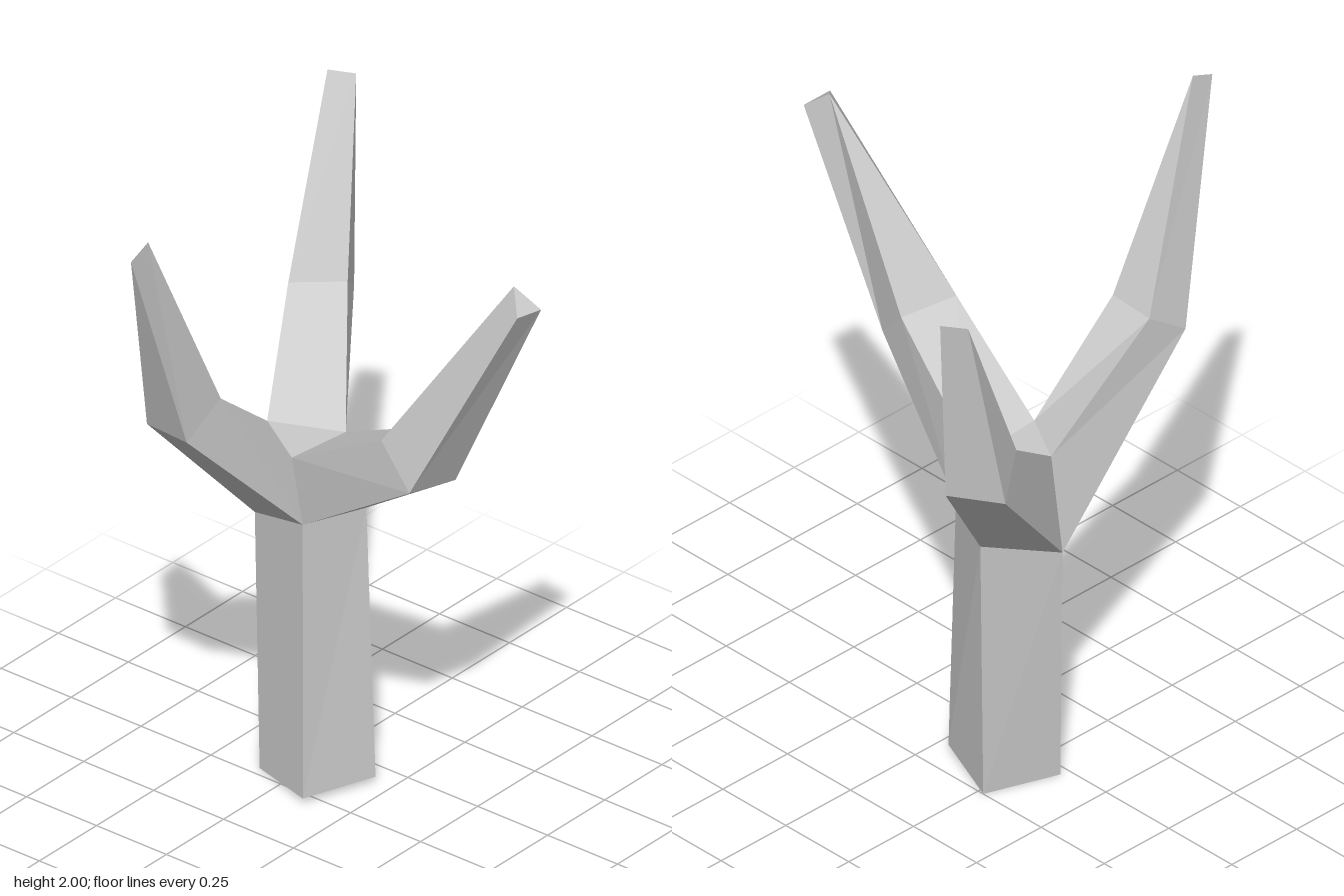
import * as THREE from 'three';

const material = new THREE.MeshStandardMaterial({ color: 0xcccccc, flatShading: true });

// Builds a mesh from polygons (each fanned into triangles, zero-area ones skipped).
function facesMesh(name, polygons) {
  const positions = [];
  for (const p of polygons) {
    for (let i = 1; i < p.length - 1; i++) {
      const [a, b, c] = [p[0], p[i], p[i + 1]];
      if (a === b || b === c || a === c) continue;
      positions.push(...a, ...b, ...c);
    }
  }
  const geometry = new THREE.BufferGeometry();
  geometry.setAttribute('position', new THREE.Float32BufferAttribute(positions, 3));
  geometry.computeVertexNormals();
  const mesh = new THREE.Mesh(geometry, material);
  mesh.name = name;
  return mesh;
}

// Skins successive rings of four corners (counterclockwise seen from the tip).
function loft(rings) {
  const polygons = [];
  for (let r = 0; r < rings.length - 1; r++) {
    const a = rings[r], b = rings[r + 1];
    for (let i = 0; i < 4; i++) {
      const j = (i + 1) % 4;
      polygons.push([a[i], a[j], b[j], b[i]]);
    }
  }
  return polygons;
}

export function createModel() {
  const group = new THREE.Group();

  // Trunk foot and trunk top corners: left, front, right, back
  const foot = [[-0.35, 0, -0.03], [-0.13, 0.02, 0.05], [-0.05, 0.02, -0.17], [-0.27, 0, -0.25]];
  const L = [-0.4, 0.785, -0.07], F = [-0.155, 0.875, 0.02];
  const R = [-0.095, 0.86, -0.185], B = [-0.31, 0.87, -0.3];

  // Upper corners of the fork, shared by neighbouring branches
  const P1 = [-0.36, 1.09, -0.075], P2 = [-0.185, 1.06, -0.205], P3 = [-0.19, 1.08, 0.025];

  group.add(facesMesh('trunk', [...loft([foot, [L, F, R, B]]), [...foot].reverse()]));
  group.add(facesMesh('fork', [[P1, P3, P2], [R, B, P2]]));

  // Front branch, ending in a narrow upright edge
  const frontLow = [-0.25, 1.97, 0.655], frontHigh = [-0.25, 2, 0.58];
  group.add(facesMesh('frontBranch', loft([
    [L, F, P3, P1],
    [[-0.385, 1.295, 0.42], [-0.235, 1.295, 0.43], [-0.22, 1.385, 0.3], [-0.375, 1.385, 0.29]],
    [frontLow, frontLow, frontHigh, frontHigh],
  ])));

  // Left branch, ending in a small triangle
  const leftTip = [[0.6, 1.81, 0.005], [0.61, 1.8, -0.087], [0.535, 1.86, -0.06]];
  group.add(facesMesh('leftBranch', [...loft([
    [F, R, P2, P3],
    [[0.3, 1.185, 0.11], [0.33, 1.165, -0.055], [0.22, 1.28, -0.09], [0.175, 1.295, 0.08]],
    [leftTip[0], leftTip[1], leftTip[2], leftTip[2]],
  ]), leftTip]));

  // Back branch, ending in a narrow level edge
  const backIn = [-0.52, 1.88, -0.66], backOut = [-0.59, 1.885, -0.62];
  group.add(facesMesh('backBranch', loft([
    [B, L, P1, P2],
    [[-0.47, 1.255, -0.59], [-0.615, 1.255, -0.5], [-0.53, 1.335, -0.375], [-0.395, 1.345, -0.47]],
    [backIn, backOut, backOut, backIn],
  ])));

  return group;
}
